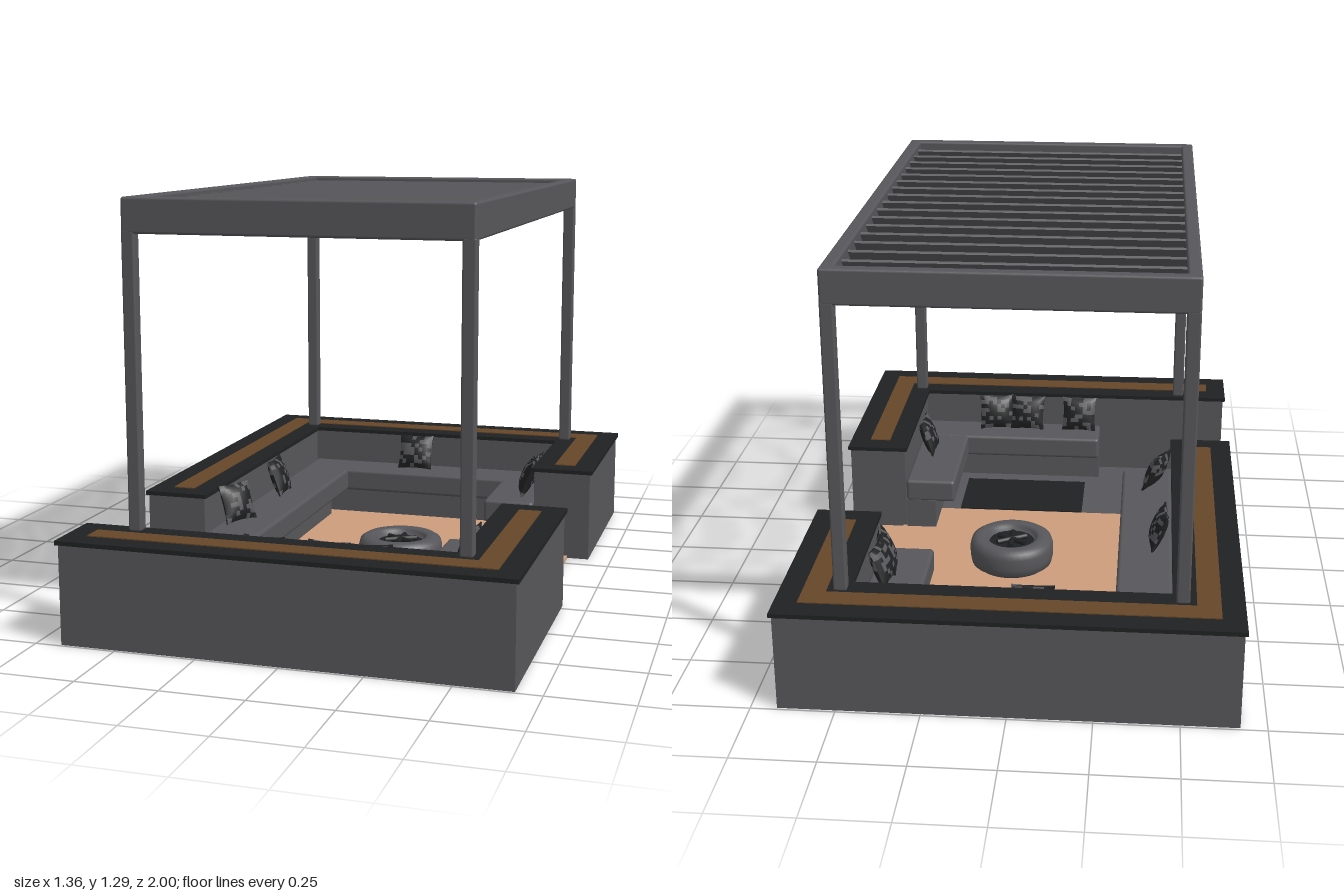
import * as THREE from 'three';
import { RoundedBoxGeometry } from 'three/addons/geometries/RoundedBoxGeometry.js';

const mat = (name, color) => new THREE.MeshStandardMaterial({ name, color });

export function createModel() {
  const grey = mat('slate grey', 0x57575b);
  const black = mat('cap black', 0x202122);
  const brown = mat('planter brown', 0x664729);
  const tan = mat('floor tan', 0xcb9d7b);
  const root = new THREE.Group();

  const add = (name, geo, material, x = 0, y = 0, z = 0, parent = root) => {
    const m = new THREE.Mesh(geo, material);
    m.name = name;
    m.position.set(x, y, z);
    parent.add(m);
    return m;
  };
  // box given by its extents, with optional rounded edges
  const block = (name, material, [x0, x1], [y0, y1], [z0, z1], r = 0, parent = root) => {
    const s = [x1 - x0, y1 - y0, z1 - z0];
    const geo = r ? new RoundedBoxGeometry(...s, 3, r) : new THREE.BoxGeometry(...s);
    return add(name, geo, material, (x0 + x1) / 2, (y0 + y1) / 2, (z0 + z1) / 2, parent);
  };
  // extrudes a plan outline of [x, z] points upward from y0 to y1
  const slab = (name, material, plan, y0, y1) => {
    const shape = new THREE.Shape(plan.map(([x, z]) => new THREE.Vector2(x, -z)));
    const geo = new THREE.ExtrudeGeometry(shape, { depth: y1 - y0, bevelEnabled: false });
    geo.rotateX(-Math.PI / 2);
    return add(name, geo, material, 0, y0, 0);
  };

  // plan outlines of the two wall runs, inset by d
  const backPlan = (d) => {
    const X = 0.68 - d, Z = 1 - d, x = 0.47 + d, z = 0.79 + d;
    return [[-X, 0.37 - d], [-X, -Z], [X, -Z], [X, -0.31 - d], [x, -0.31 - d],
      [x, -z], [-x, -z], [-x, 0.37 - d]];
  };
  const frontPlan = (d) => {
    const X = 0.68 - d, Z = 1 - d, x = 0.47 + d, z = 0.79 + d;
    return [[-X, Z], [X, Z], [X, 0.21 + d], [x, 0.21 + d], [x, z], [-X, z]];
  };
  for (const [side, plan] of [['back', backPlan], ['front', frontPlan]]) {
    slab(side + 'Wall', grey, plan(0.008), 0, 0.302);
    slab(side + 'WallCap', black, plan(0), 0.302, 0.315);
    slab(side + 'PlanterStrip', brown, plan(0.07), 0.315, 0.318);
  }

  // floors
  slab('floor', tan, [[-0.48, -0.82], [0.49, -0.82], [0.49, -0.31], [0.6, -0.31], [0.6, 0.21],
    [0.49, 0.21], [0.49, 0.37], [-0.48, 0.37]], 0, 0.01);
  block('frontFloor', grey, [-0.53, 0.48], [0, 0.008], [0.37, 0.82]);
  block('darkMat', black, [-0.15, 0.3], [-0.0, 0.012], [0.375, 0.64]);

  // sofas: seat cushions on recessed bases
  const seats = [
    ['leftSeat', [-0.475, -0.3], [-0.64, 0.37]],
    ['backSeat', [-0.475, 0.475], [-0.795, -0.63]],
    ['rightBackSeat', [0.3, 0.475], [-0.64, -0.31]],
    ['rightFrontSeat', [0.3, 0.475], [0.21, 0.65]],
    ['frontSeat', [-0.2, 0.475], [0.64, 0.795]],
  ];
  for (const [name, xs, zs] of seats) {
    block(name, grey, xs, [0.11, 0.19], zs, 0.012);
    const along = xs[1] - xs[0] > zs[1] - zs[0];
    const bx = along ? xs : xs[0] < 0 ? [-0.475, -0.37] : [0.37, 0.475];
    const bz = !along ? zs : zs[0] < 0 ? [-0.795, -0.7] : [0.7, 0.795];
    block(name + 'Base', grey, bx, [0.008, 0.115], bz);
  }

  // patchwork cushions: puffed boxes whose squares take one of two colours
  const pillowGeo = (seed) => {
    const n = 8, geo = new THREE.BoxGeometry(0.13, 0.13, 0.05, n, n, 1);
    const p = geo.attributes.position;
    for (let i = 0; i < p.count; i++) {
      const u = p.getX(i) / 0.065, v = p.getY(i) / 0.065;
      p.setZ(i, p.getZ(i) * (0.12 + 0.88 * Math.sqrt((1 - u * u) * (1 - v * v))));
      p.setX(i, p.getX(i) * (1 - 0.08 * (1 - v * v)));
      p.setY(i, p.getY(i) * (1 - 0.08 * (1 - u * u)));
    }
    geo.computeVertexNormals();
    geo.clearGroups();
    let s = seed * 7919 + 13;
    for (let i = 0; i < geo.index.count; i += 6) {
      s = (s * 1103515245 + 12345) % 2147483648;
      geo.addGroup(i, 6, s / 2147483648 < 0.65 ? 0 : 1);
    }
    return geo;
  };
  // x, y, z, turn, lean
  const pillows = [
    [-0.42, 0.26, 0.22, 1.1, -0.35], [-0.43, 0.25, -0.22, 1.6, -0.35],
    [-0.06, 0.25, -0.74, 0, -0.35], [0.43, 0.25, -0.45, -1.4, -0.35],
    [0.43, 0.25, -0.54, -1.7, -0.35], [0.43, 0.25, 0.5, -1.6, -0.35],
    [0.08, 0.25, 0.75, 3.1, -0.3], [0.2, 0.25, 0.75, 3.3, -0.3], [-0.12, 0.25, 0.75, 3.1, -0.3],
  ];
  pillows.forEach(([x, y, z, turn, lean], i) => {
    const m = add('pillow' + (i + 1), pillowGeo(i + 1), [black, grey], x, y, z);
    m.rotation.set(lean, turn, 0, 'YXZ');
  });

  // round fire table with a dark bowl
  const profile = [[0, 0.012], [0.12, 0.012], [0.137, 0.025], [0.142, 0.05], [0.142, 0.085],
    [0.136, 0.105], [0.12, 0.115], [0.095, 0.115], [0.082, 0.108], [0.078, 0.085], [0, 0.085]];
  add('fireTable', new THREE.LatheGeometry(profile.map((q) => new THREE.Vector2(...q)), 40),
    grey, 0.07, 0, -0.045);
  add('fireBowl', new THREE.CylinderGeometry(0.077, 0.077, 0.008, 32), black, 0.07, 0.09, -0.045);
  for (let i = 0; i < 3; i++) {
    const log = add('fireLog', new THREE.CylinderGeometry(0.01, 0.01, 0.11, 8), black,
      0.07, 0.1, -0.045);
    log.rotation.set(Math.PI / 2, 0, (i * Math.PI) / 3, 'XYZ');
  }

  // pergola: posts, beams and tilted louvres
  const pergola = new THREE.Group();
  pergola.name = 'pergola';
  pergola.position.z = -0.005;
  root.add(pergola);
  for (const s of [-1, 1]) {
    const mx = [s * 0.5 - 0.02, s * 0.5 + 0.02], mz = [s * 0.825 - 0.02, s * 0.825 + 0.02];
    block('sideBeam', grey, mx, [1.19, 1.295], [-0.845, 0.845], 0.008, pergola);
    block('endBeam', grey, [-0.52, 0.52], [1.19, 1.295], mz, 0.008, pergola);
    for (const t of [-1, 1]) {
      block('post', grey, mx, [0.315, 1.2], [t * 0.826 - 0.019, t * 0.826 + 0.019], 0.006, pergola);
    }
  }
  const louvreGeo = new THREE.BoxGeometry(0.965, 0.008, 0.092);
  for (let i = 0; i < 17; i++) {
    const m = add('louvre', louvreGeo, grey, 0, 1.245, -0.765 + i * 0.0956, pergola);
    m.rotation.x = 0.79;
  }
  return root;
}
